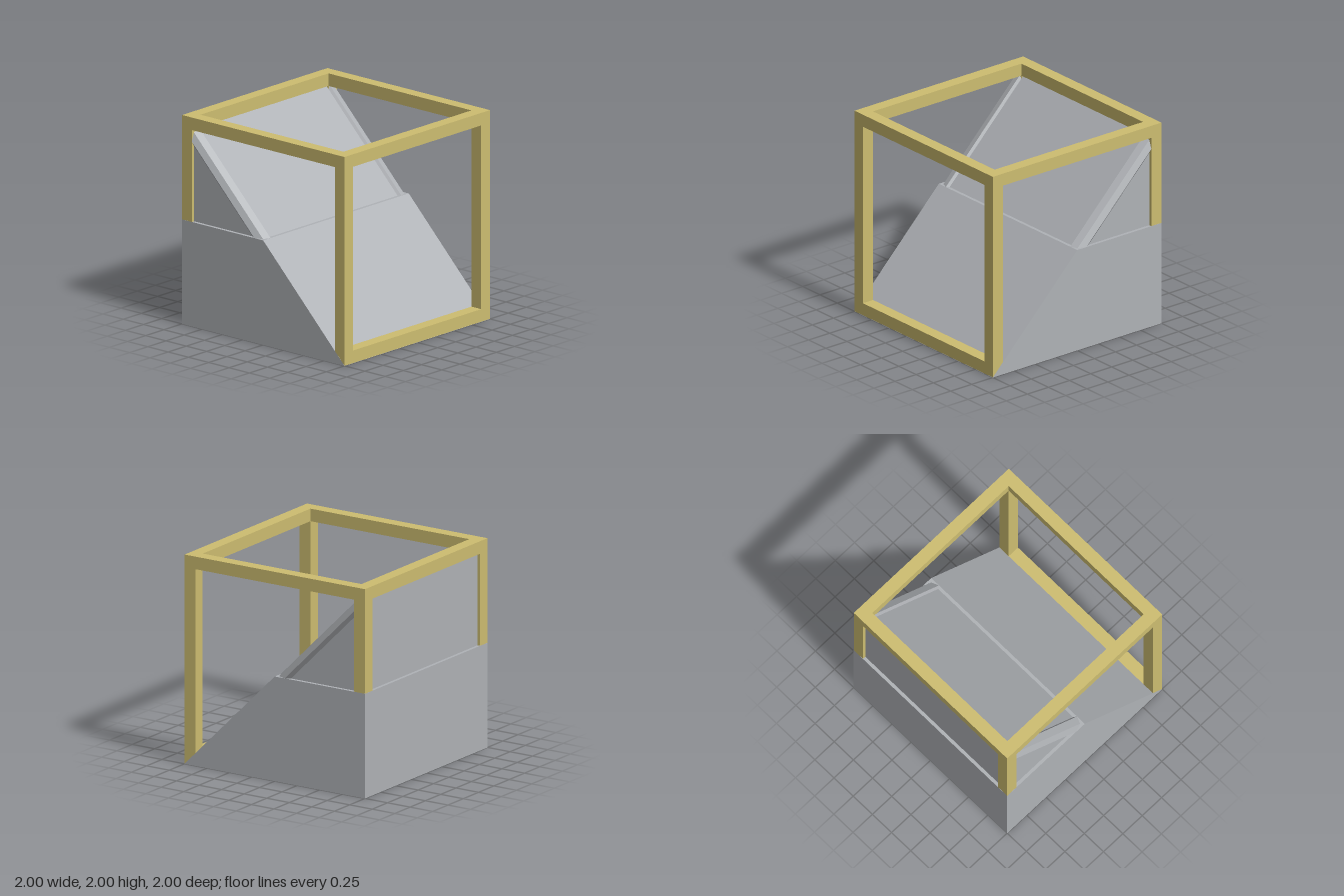
import * as THREE from 'three';

const frameMat = new THREE.MeshStandardMaterial({ name: 'ochre frame', color: 0xcdbd70 });
const rampMat = new THREE.MeshStandardMaterial({ name: 'grey ramp', color: 0xafb2b6 });
const trimMat = new THREE.MeshStandardMaterial({ name: 'grey trim', color: 0xafb2b6, side: THREE.DoubleSide });

const BEAM = 0.12;

// Solid made by extruding an x/y outline between -halfDepth and +halfDepth in z
function prism(name, points, halfDepth) {
  const shape = new THREE.Shape(points.map(([x, y]) => new THREE.Vector2(x, y)));
  const geo = new THREE.ExtrudeGeometry(shape, { depth: halfDepth * 2, bevelEnabled: false });
  geo.translate(0, 0, -halfDepth);
  const mesh = new THREE.Mesh(geo, rampMat);
  mesh.name = name;
  return mesh;
}

// Cube frame: two square rings joined by four posts
function buildFrame() {
  const frame = new THREE.Group();
  frame.name = 'cubeFrame';
  const inner = 1 - BEAM;
  const square = (r) => [[-r, -r], [r, -r], [r, r], [-r, r]].map(([x, y]) => new THREE.Vector2(x, y));
  const outline = new THREE.Shape(square(1));
  outline.holes.push(new THREE.Path(square(inner).reverse()));
  const ringGeo = new THREE.ExtrudeGeometry(outline, { depth: BEAM, bevelEnabled: false });
  ringGeo.rotateX(-Math.PI / 2);
  for (const [name, y] of [['bottomRing', 0], ['topRing', 2 - BEAM]]) {
    const ring = new THREE.Mesh(ringGeo, frameMat);
    ring.name = name;
    ring.position.y = y;
    frame.add(ring);
  }
  const postGeo = new THREE.BoxGeometry(BEAM, 2 - 2 * BEAM, BEAM);
  for (const sx of [-1, 1]) for (const sz of [-1, 1]) {
    const post = new THREE.Mesh(postGeo, frameMat);
    post.name = 'cornerPost';
    post.position.set(sx * (1 - BEAM / 2), 1, sz * (1 - BEAM / 2));
    frame.add(post);
  }
  return frame;
}

// Raised rim along one sloping edge; each section point is [drop below slope, z]
function buildRim(side) {
  const section = [[0.16, 0.97], [0.11, 1], [0.03, 0.97], [0, 0.9], [0.03, 0.88]];
  const backX = -0.97;
  const pos = [];
  for (let i = 0; i < section.length - 1; i++) {
    const [[c0, z0], [c1, z1]] = [section[i], section[i + 1]];
    const low0 = [-c0, 1, z0 * side], low1 = [-c1, 1, z1 * side];
    const high0 = [backX, 1 - c0 - backX, z0 * side], high1 = [backX, 1 - c1 - backX, z1 * side];
    const quad = side > 0
      ? [low0, low1, high1, low0, high1, high0]
      : [low0, high1, low1, low0, high0, high1];
    pos.push(...quad.flat());
  }
  const geo = new THREE.BufferGeometry();
  geo.setAttribute('position', new THREE.Float32BufferAttribute(pos, 3));
  geo.computeVertexNormals();
  const rim = new THREE.Mesh(geo, trimMat);
  rim.name = side > 0 ? 'frontSlopeRim' : 'backSlopeRim';
  return rim;
}

export function createModel() {
  const model = new THREE.Group();
  model.name = 'framedRamp';
  model.add(buildFrame());

  const ramp = new THREE.Group();
  ramp.name = 'ramp';
  // Lower half, a hair proud of the frame so that its faces stay clean
  const e = 0.001;
  ramp.add(prism('lowerRamp', [[-1 - e, -e], [1 + e, -e], [0, 1], [-1 - e, 1]], 1 + e));
  // Upper half, set back to leave a narrow ledge on every side
  ramp.add(prism('upperGables', [[-0.97, 1], [-0.16, 1], [-0.97, 1.81]], 0.97));
  ramp.add(prism('upperSlope', [[-0.97, 1], [-0.03, 1], [-0.97, 1.94]], 0.885));
  for (const side of [1, -1]) ramp.add(buildRim(side));
  model.add(ramp);
  return model;
}
